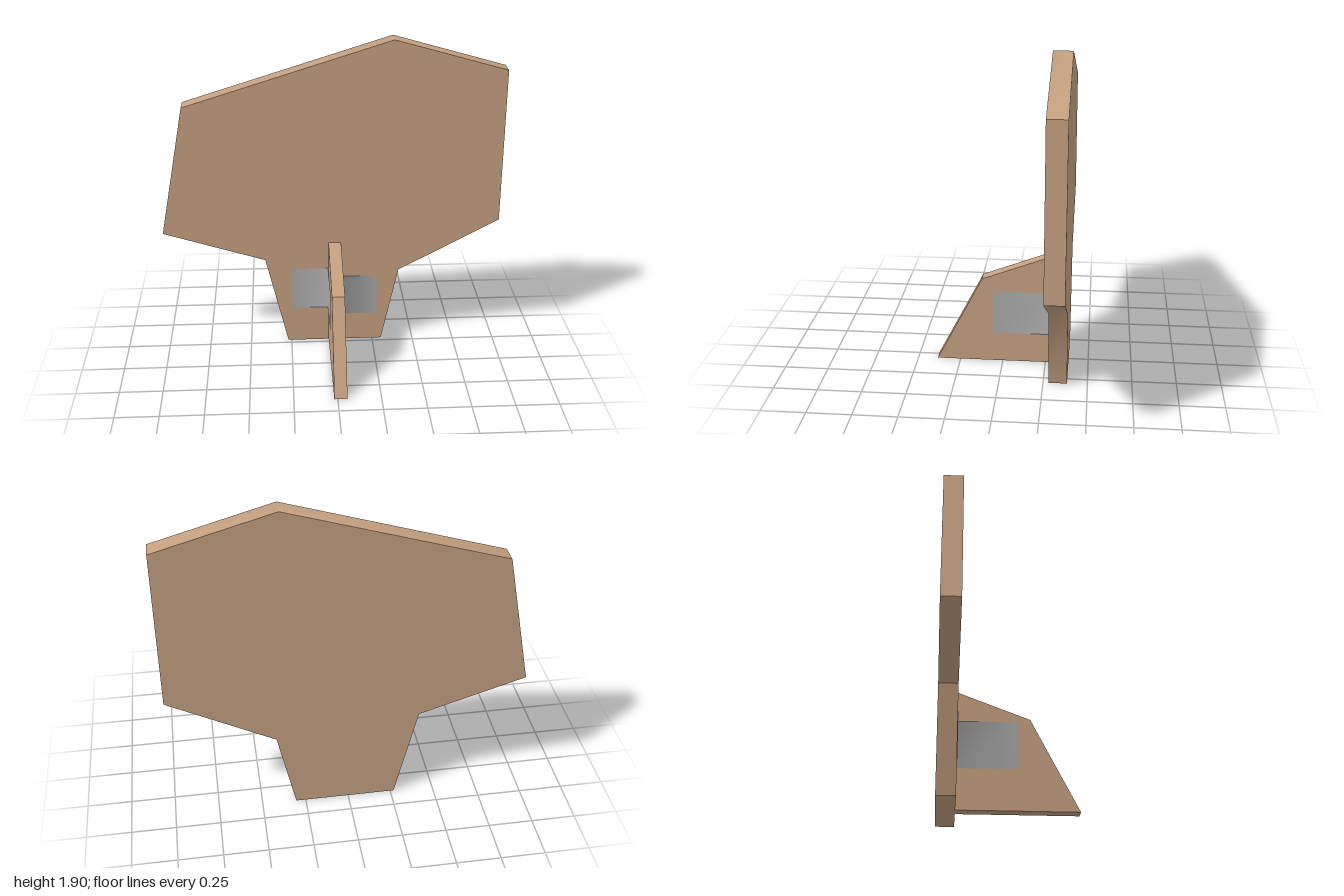
import * as THREE from 'three';
import { toCreasedNormals } from 'three/addons/utils/BufferGeometryUtils.js';

const BACK = -0.385, FACE = -0.28;      // board back and front planes
const STRUT_L = -0.02, STRUT_R = 0.055; // strut side planes
const GAP = 0.004;                      // tape lies just above the surfaces

function extrude(points, depth) {
  const shape = new THREE.Shape(points.map(([x, y]) => new THREE.Vector2(x, y)));
  return new THREE.ExtrudeGeometry(shape, { depth, bevelEnabled: false });
}

// Thin strip folded along a path of [x, z] columns, softly shaded over the fold
function foldedStrip(columns, bottom, top) {
  const geometry = new THREE.PlaneGeometry(1, 1, columns.length - 1, 1);
  const position = geometry.attributes.position;
  for (let i = 0; i < position.count; i++) {
    const [x, z] = columns[i % columns.length];
    position.setXYZ(i, x, i < columns.length ? top : bottom, z);
  }
  geometry.computeVertexNormals();
  return geometry;
}

export function createModel() {
  const group = new THREE.Group();
  const cardboard = new THREE.MeshStandardMaterial({ color: 0xc4a080 });
  cardboard.name = 'cardboard';
  const tape = new THREE.MeshStandardMaterial({ color: 0xa8a8a8, side: THREE.DoubleSide });
  tape.name = 'grey tape';

  const add = (name, geometry, material) => {
    const mesh = new THREE.Mesh(geometry, material);
    mesh.name = name;
    group.add(mesh);
  };

  // Upright board with a narrow foot
  const board = extrude([
    [-0.27, 0], [0.305, 0], [0.405, 0.475], [1, 0.795], [1, 1.72],
    [0.35, 1.905], [-0.85, 1.53], [-1, 0.75], [-0.4, 0.56],
  ], FACE - BACK);
  board.translate(0, 0, BACK);
  add('board', toCreasedNormals(board, 0.96), cardboard);

  // Supporting strut, profile drawn in z and y
  const strut = extrude([
    [FACE, 0], [0.385, 0], [0.12, 0.515], [FACE, 0.667],
  ], STRUT_R - STRUT_L);
  strut.rotateY(-Math.PI / 2);
  strut.translate(STRUT_R, 0, 0);
  add('strut', strut, cardboard);

  // Tape strips folded into the corners between strut and board
  const z = FACE + GAP;
  add('leftTape', foldedStrip(
    [[STRUT_R + GAP, 0.055], [STRUT_R + GAP, z], [0.275, z]], 0.18, 0.44), tape);
  add('rightTape', foldedStrip(
    [[-0.24, z], [STRUT_L - GAP, z], [STRUT_L - GAP, 0.055]], 0.23, 0.497), tape);

  return group;
}
